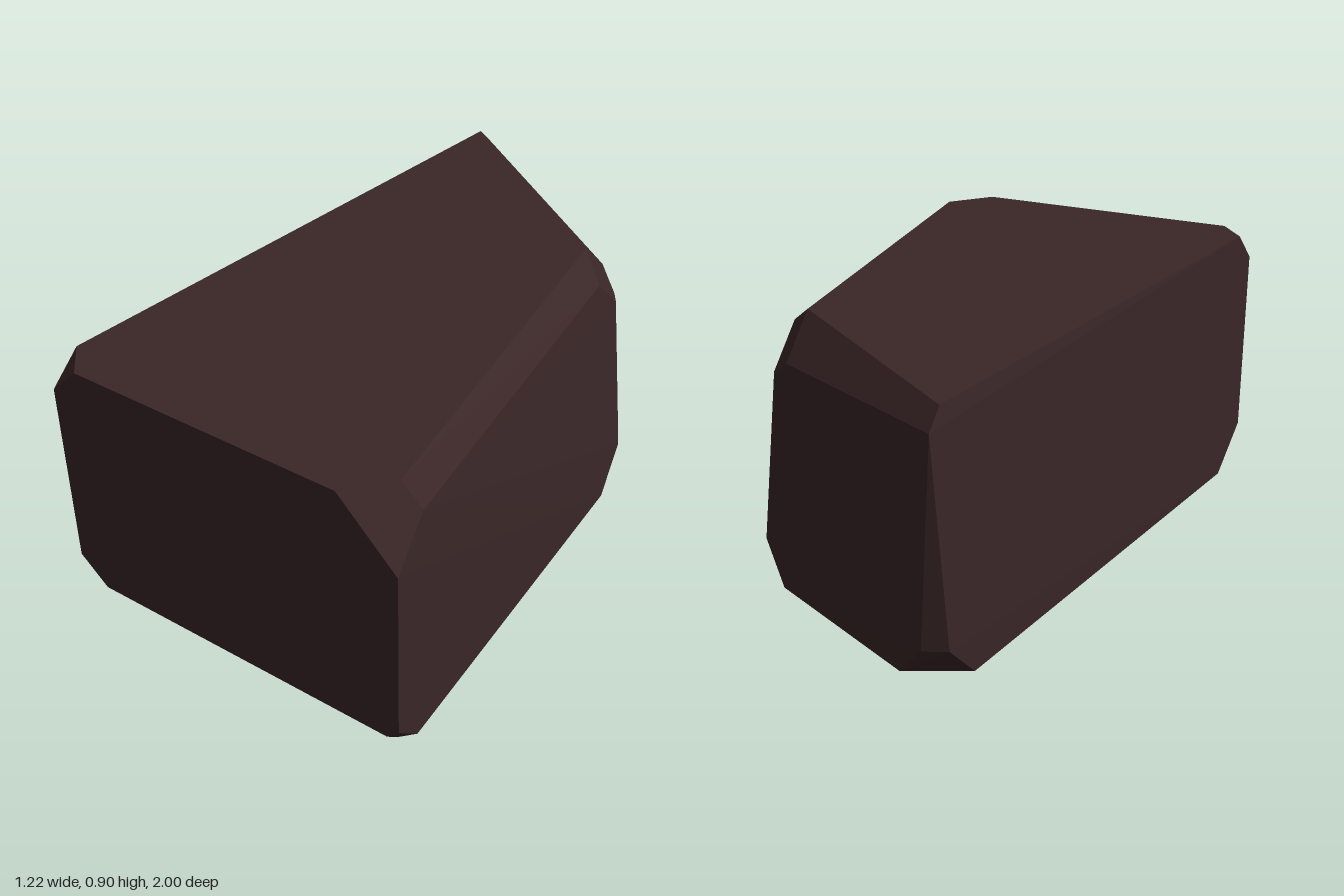
import * as THREE from 'three';
import { ConvexGeometry } from 'three/addons/geometries/ConvexGeometry.js';

// Corner points of the chamfered boulder, grouped by corner of the block: [x, y, z]
const corners = {
  frontLeftTop: [[-0.51, 0.9, 0.965], [-0.61, 0.8, 0.96], [-0.595, 0.9, 0.86]],
  frontRightTop: [[0.41, 0.9, 0.99], [0.53, 0.9, 0.86], [0.6, 0.83, 0.86], [0.61, 0.7, 1]],
  frontLeftBottom: [[-0.61, 0.15, 0.96], [-0.51, 0.06, 0.965], [-0.52, 0, 0.91], [-0.585, 0, 0.81]],
  frontRightBottom: [[0.57, 0.06, 1], [0.61, 0.1, 1], [0.57, 0, 0.94], [0.61, 0, 0.9]],
  backRightTop: [[0.41, 0.9, -0.42], [0.5, 0.83, -0.35], [0.505, 0.7, -0.48], [0.48, 0.7, -0.52], [0.41, 0.77, -0.56]],
  backRightBottom: [[0.58, 0, -0.34], [0.565, 0.13, -0.48], [0.545, 0.13, -0.52], [0.45, 0, -0.58]],
  backLeftTop: [[-0.283, 0.9, -0.94], [-0.28, 0.84, -1]],
  backLeftBottom: [[-0.295, 0.14, -0.92], [-0.22, 0.14, -0.95], [-0.11, 0, -0.87], [-0.31, 0, -0.78]],
};

export function createModel() {
  const group = new THREE.Group();
  group.name = 'rock';

  const darkStone = new THREE.MeshStandardMaterial({ color: 0x3a2627 });
  darkStone.name = 'dark stone';

  // Faceted boulder with cut edges and corners
  const points = Object.values(corners).flat().map((p) => new THREE.Vector3(...p));
  const boulder = new THREE.Mesh(new ConvexGeometry(points), darkStone);
  boulder.name = 'boulder';
  group.add(boulder);

  return group;
}
